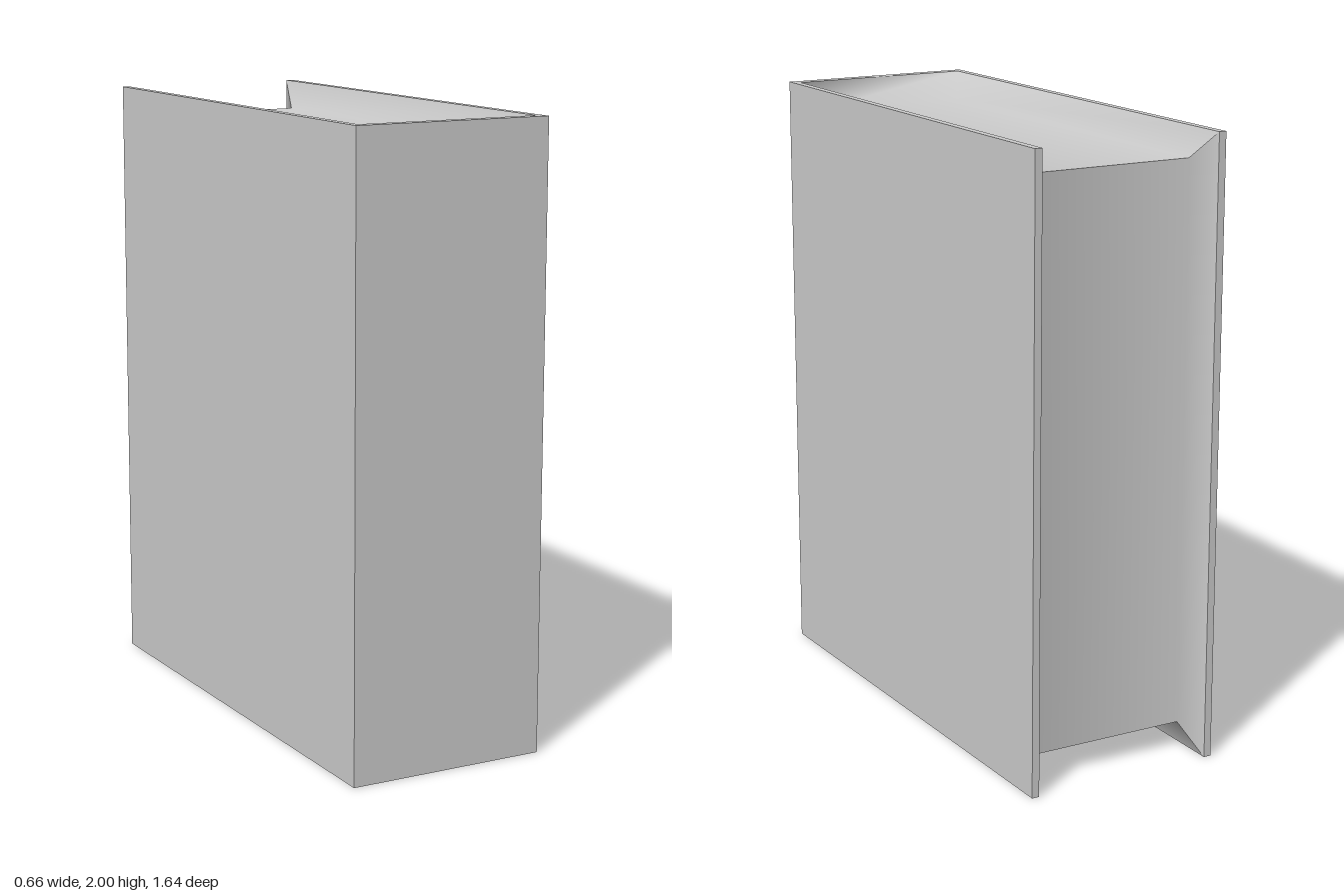
import * as THREE from 'three';

const W = 0.33, D = 0.82, H = 2;          // outer half width, half depth, height
const IN = 0.305, SPINE = 0.785;          // inner faces of boards and spine
const PX = 0.27, PBACK = -0.715, PFRONT = 0.73, INSET = 0.09; // page block

const grey = new THREE.MeshStandardMaterial({ color: 0xcccccc, side: THREE.DoubleSide });

// Recessed panel: inner quad joined to an outer quad along the listed sides
function recessedPanel(name, outer, inner, sides) {
  const index = [4, 5, 6, 4, 6, 7];
  for (const i of sides) {
    const j = (i + 1) % 4;
    index.push(i, j, j + 4, i, j + 4, i + 4);
  }
  const geo = new THREE.BufferGeometry();
  geo.setAttribute('position', new THREE.Float32BufferAttribute([...outer, ...inner].flat(), 3));
  geo.setIndex(index);
  geo.computeVertexNormals();
  const mesh = new THREE.Mesh(geo, grey);
  mesh.name = name;
  return mesh;
}

export function createModel() {
  const book = new THREE.Group();
  book.name = 'book';

  // U-shaped cover: two boards and a flat spine, extruded upward
  const plan = new THREE.Shape([
    [-W, D], [-IN, D], [-IN, -SPINE], [IN, -SPINE],
    [IN, D], [W, D], [W, -D], [-W, -D],
  ].map(([x, y]) => new THREE.Vector2(x, y)));
  const coverGeo = new THREE.ExtrudeGeometry(plan, { depth: H, bevelEnabled: false });
  coverGeo.rotateX(-Math.PI / 2);
  const cover = new THREE.Mesh(coverGeo, grey);
  cover.name = 'cover';
  book.add(cover);

  // Page block ends, sloping up to the boards and spine
  const pages = new THREE.Group();
  pages.name = 'pages';
  for (const s of [1, -1]) {
    const ring = (x, front, back, y) => [
      [-s * x, y, front], [s * x, y, front], [s * x, y, back], [-s * x, y, back],
    ];
    pages.add(recessedPanel(
      s > 0 ? 'pagesTop' : 'pagesBottom',
      ring(IN, SPINE, -D, 1 + s),
      ring(PX, PFRONT, PBACK, 1 + s * (1 - INSET)),
      [0, 1, 3],
    ));
  }

  // Fore edge of the pages, sloping out to both boards
  const edge = (x, y0, y1, z) => [[x, y0, z], [-x, y0, z], [-x, y1, z], [x, y1, z]];
  pages.add(recessedPanel(
    'pagesForeEdge',
    edge(IN, 0, H, -D),
    edge(PX, INSET, H - INSET, PBACK),
    [1, 3],
  ));
  book.add(pages);

  return book;
}
